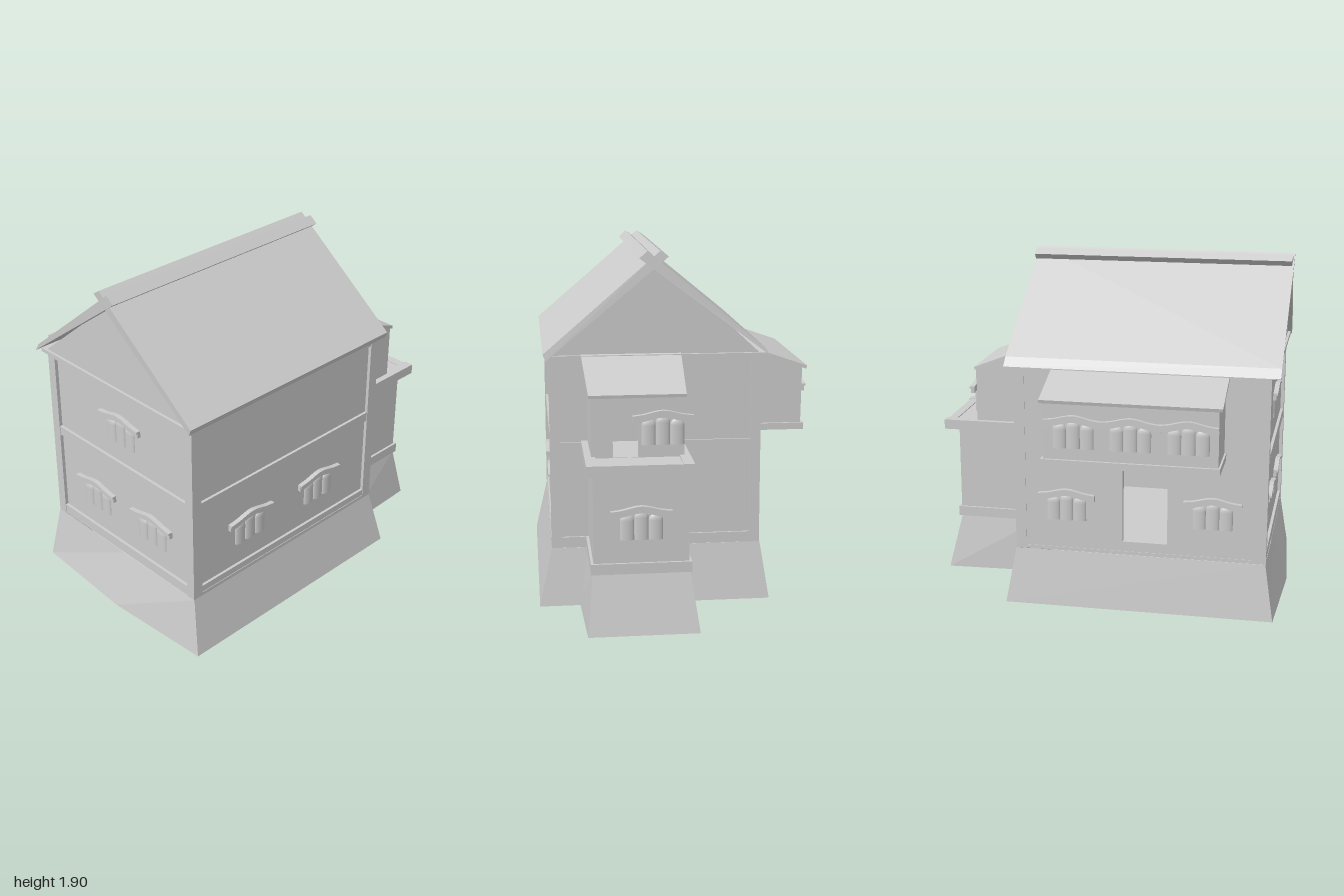
import * as THREE from 'three';

const mat = new THREE.MeshStandardMaterial({ color: 0xcccccc });
const thin = new THREE.MeshStandardMaterial({ color: 0xcccccc, side: THREE.DoubleSide });

function add(parent, name, geometry, material = mat) {
  const mesh = new THREE.Mesh(geometry, material);
  mesh.name = name;
  parent.add(mesh);
  return mesh;
}

// Box given by its lower and upper limits on each axis
function block(parent, name, x0, x1, y0, y1, z0, z1) {
  const mesh = add(parent, name, new THREE.BoxGeometry(x1 - x0, y1 - y0, z1 - z0));
  mesh.position.set((x0 + x1) / 2, (y0 + y1) / 2, (z0 + z1) / 2);
  return mesh;
}

// Skewed box; corners ordered with x fastest, then y, then z
function hexa(parent, name, corners) {
  const g = new THREE.BoxGeometry(1, 1, 1).toNonIndexed();
  const p = g.attributes.position;
  for (let i = 0; i < p.count; i++) {
    const k = (p.getX(i) > 0 ? 1 : 0) + (p.getY(i) > 0 ? 2 : 0) + (p.getZ(i) > 0 ? 4 : 0);
    p.setXYZ(i, ...corners[k]);
  }
  g.computeVertexNormals();
  return add(parent, name, g);
}

function polygon(points) {
  return new THREE.Shape(points.map(([x, y]) => new THREE.Vector2(x, y)));
}

function extrude(parent, name, shape, depth) {
  return add(parent, name, new THREE.ExtrudeGeometry(shape, { depth, bevelEnabled: false }));
}

// Wall drawn in (z, y), with its outer face towards -x
function sideWall(parent, name, shape, x, depth) {
  const wall = extrude(parent, name, shape, depth);
  wall.rotation.y = -Math.PI / 2;
  wall.position.x = x;
}

// Curved strip of the window hood
function hoodBand(parent, name, low, high, depth) {
  const curve = (lift) => new THREE.SplineCurve(
    [[-0.157, 0.115], [-0.1, 0.122], [0, 0.142], [0.1, 0.122], [0.157, 0.115]]
      .map(([x, y]) => new THREE.Vector2(x, y + lift))).getPoints(16);
  extrude(parent, name, new THREE.Shape([...curve(low), ...curve(high).reverse()]), depth);
}

// Three rounded panes under an arched hood, facing +z
function addWindow(parent, x, y, z, turn = 0) {
  const win = new THREE.Group();
  win.name = 'window';
  const r = 0.0365;
  for (const i of [-1, 0, 1]) {
    const pane = new THREE.Group();
    pane.name = 'pane';
    const h = i === 0 ? 0.115 : 0.1;
    const body = add(pane, 'paneBody',
      new THREE.CylinderGeometry(r, r, h, 14, 1, true, -Math.PI / 2, Math.PI), thin);
    body.position.y = h / 2;
    const top = add(pane, 'paneArch',
      new THREE.SphereGeometry(r, 14, 6, 0, Math.PI, 0, Math.PI / 2), thin);
    top.position.y = h;
    const sill = add(pane, 'paneBottom', new THREE.CircleGeometry(r, 14, 0, Math.PI), thin);
    sill.rotation.x = Math.PI / 2;
    pane.position.x = i * 2 * r;
    pane.scale.z = 0.45;
    win.add(pane);
  }
  hoodBand(win, 'hood', 0, 0.026, 0.02);
  hoodBand(win, 'hoodCap', 0.026, 0.038, 0.028);
  win.position.set(x, y, z);
  win.rotation.y = turn;
  parent.add(win);
}

// Flared hollow skirt joining two rings of [x, z]
function skirt(parent, bottom, top, y0, y1) {
  const v = [];
  bottom.forEach((b, i) => {
    const j = (i + 1) % bottom.length;
    const A = [b[0], y0, b[1]], B = [bottom[j][0], y0, bottom[j][1]];
    const C = [top[j][0], y1, top[j][1]], D = [top[i][0], y1, top[i][1]];
    v.push(...A, ...B, ...C, ...A, ...C, ...D);
  });
  const g = new THREE.BufferGeometry();
  g.setAttribute('position', new THREE.Float32BufferAttribute(v, 3));
  g.computeVertexNormals();
  add(parent, 'baseSkirt', g, thin);
}

function mainHouse(house) {
  skirt(house,
    [[-0.505, 0.965], [0.12, 1], [0.74, 0.96], [0.74, -0.515], [-0.51, -0.515]],
    [[-0.463, 0.915], [0.11, 0.917], [0.67, 0.915], [0.67, -0.463], [-0.463, -0.463]], 0, 0.31);
  block(house, 'floor', -0.46, 0.67, 0.31, 0.33, -0.46, 0.91);

  // Recessed wall panels
  block(house, 'frontWall', -0.45, 0.655, 0.31, 1.35, 0.865, 0.898);
  block(house, 'rightSideWall', 0.62, 0.652, 0.31, 1.35, -0.45, 0.89);
  block(house, 'backWall', -0.45, 0.655, 0.31, 1.35, -0.45, -0.42);
  const wall = polygon([[-0.455, 0.31], [0.91, 0.31], [0.91, 1.35], [-0.455, 1.35]]);
  wall.holes.push(polygon([[0.135, 0.385], [0.135, 0.87], [0.38, 0.87], [0.38, 0.385]]));
  sideWall(house, 'doorWall', wall, -0.425, 0.032);

  // Corner posts
  for (const [x0, x1] of [[-0.46, -0.405], [0.615, 0.67]])
    for (const [z0, z1] of [[-0.463, -0.404], [0.858, 0.917]])
      block(house, 'cornerPost', x0, x1, 0.31, 1.345, z0, z1);

  // Horizontal beams
  for (const [y0, y1] of [[0.31, 0.368], [0.836, 0.89], [1.308, 1.345]]) {
    block(house, 'frontBeam', -0.41, 0.62, y0, y1, 0.87, 0.914);
    block(house, 'sideBeam', 0.63, 0.667, y0, y1, -0.41, 0.86);
    block(house, 'backBeam', -0.41, 0.62, y0, y1, -0.461, -0.43);
  }

  // Gable and roof
  const gable = extrude(house, 'gable', polygon([[-0.47, 1.34], [0.67, 1.34], [0.1, 1.815]]), 1.375);
  gable.position.z = -0.45;
  block(house, 'gableBeam', -0.485, 0.685, 1.338, 1.358, -0.47, 0.94);
  hexa(house, 'rightRoof', [
    [0.035, 1.87, -0.46], [0.685, 1.337, -0.5], [0.08, 1.9, -0.457], [0.7, 1.372, -0.495],
    [0.035, 1.87, 0.968], [0.685, 1.337, 0.945], [0.08, 1.9, 0.972], [0.7, 1.372, 0.948]]);
  hexa(house, 'leftRoof', [
    [-0.5, 1.347, -0.505], [0.19, 1.862, -0.46], [-0.468, 1.395, -0.5], [0.147, 1.9, -0.457],
    [-0.5, 1.347, 0.965], [0.19, 1.862, 0.975], [-0.468, 1.395, 0.967], [0.147, 1.9, 0.978]]);

  // Windows
  addWindow(house, 0.106, 1.0, 0.896);
  addWindow(house, -0.12, 0.487, 0.896);
  addWindow(house, 0.332, 0.487, 0.896);
  for (const z of [0.495, -0.03]) addWindow(house, 0.65, 0.495, z, Math.PI / 2);
  for (const z of [-0.176, 0.625]) addWindow(house, -0.455, 0.49, z, -Math.PI / 2);
}

// Overhanging room above the side door
function sideBay(bay) {
  block(bay, 'bayFloor', -0.74, -0.45, 0.885, 0.922, -0.25, 0.69);
  hexa(bay, 'bayRoom', [
    [-0.725, 0.92, -0.235], [-0.45, 0.92, -0.235], [-0.73, 1.235, -0.235], [-0.45, 1.335, -0.235],
    [-0.725, 0.92, 0.68], [-0.45, 0.92, 0.68], [-0.73, 1.235, 0.68], [-0.45, 1.335, 0.68]]);
  hexa(bay, 'bayRoof', [
    [-0.75, 1.225, -0.25], [-0.45, 1.33, -0.25], [-0.755, 1.243, -0.25], [-0.45, 1.348, -0.25],
    [-0.75, 1.225, 0.7], [-0.45, 1.33, 0.7], [-0.755, 1.243, 0.7], [-0.45, 1.348, 0.7]]);
  for (const z of [-0.075, 0.225, 0.525]) addWindow(bay, -0.724, 0.985, z, -Math.PI / 2);
}

// Rear wing with a balcony and a small upper room
function rearWing(wing) {
  hexa(wing, 'wingBase', [
    [-0.07, 0, -0.985], [0.505, 0, -0.985], [-0.025, 0.31, -0.913], [0.475, 0.31, -0.913],
    [-0.045, 0, -0.45], [0.525, 0, -0.45], [-0.025, 0.31, -0.45], [0.475, 0.31, -0.45]]);
  block(wing, 'wingWalls', -0.018, 0.47, 0.31, 0.86, -0.916, -0.44);
  block(wing, 'wingBeam', -0.032, 0.484, 0.312, 0.368, -0.93, -0.44);
  addWindow(wing, 0.226, 0.49, -0.915, Math.PI);

  // Balcony with edge beams
  block(wing, 'balconyFloor', 0, 0.47, 0.845, 0.89, -0.985, -0.45);
  block(wing, 'balconyBeam', -0.035, 0.02, 0.842, 0.898, -1, -0.45);
  block(wing, 'balconyBeam', 0.45, 0.505, 0.842, 0.898, -1, -0.45);
  block(wing, 'balconyEdge', 0.01, 0.46, 0.845, 0.895, -0.99, -0.94);

  // Upper room with an open doorway
  const back = polygon([[-0.005, 0.88], [0.47, 0.88], [0.47, 1.21], [-0.005, 1.21]]);
  back.holes.push(polygon([[0.23, 0.892], [0.23, 1.13], [0.36, 1.13], [0.36, 0.892]]));
  extrude(wing, 'roomBackWall', back, 0.02).position.z = -0.81;
  const side = () => polygon([[-0.81, 0.88], [-0.44, 0.88], [-0.44, 1.35], [-0.81, 1.205]]);
  sideWall(wing, 'roomSideWall', side(), 0.015, 0.02);
  sideWall(wing, 'roomSideWall', side(), 0.47, 0.02);
  hexa(wing, 'roomRoof', [
    [-0.015, 1.198, -0.815], [0.482, 1.198, -0.815], [-0.015, 1.215, -0.818], [0.482, 1.215, -0.818],
    [-0.03, 1.342, -0.45], [0.5, 1.342, -0.45], [-0.03, 1.362, -0.45], [0.5, 1.362, -0.45]]);
  addWindow(wing, 0.105, 0.955, -0.808, Math.PI);
}

export function createModel() {
  const model = new THREE.Group();
  model.name = 'house';
  for (const [name, build] of [['mainHouse', mainHouse], ['sideBay', sideBay], ['rearWing', rearWing]]) {
    const part = new THREE.Group();
    part.name = name;
    build(part);
    model.add(part);
  }
  return model;
}
